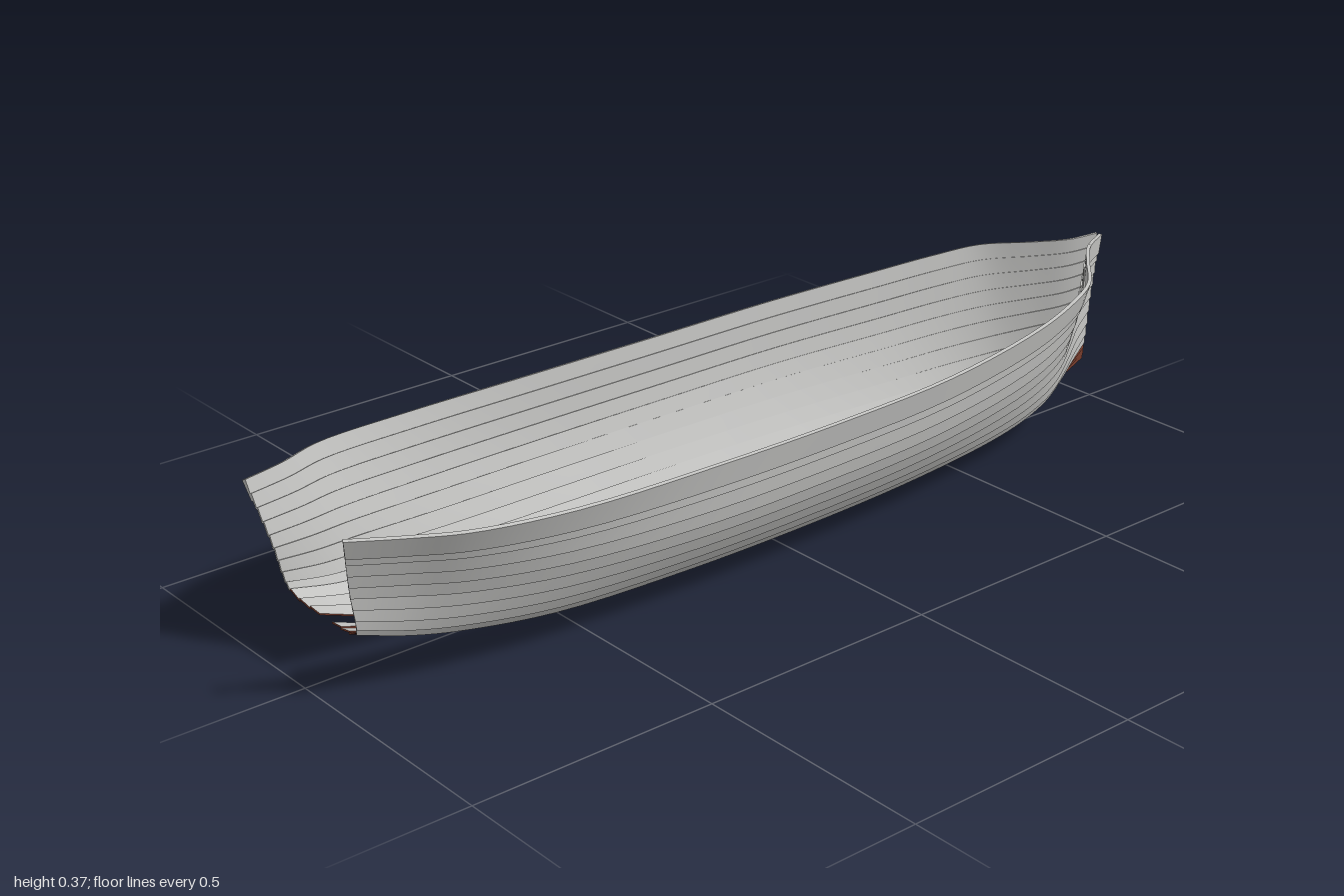
import * as THREE from 'three';
import { toCreasedNormals } from 'three/addons/utils/BufferGeometryUtils.js';

// Lengthwise stations, stern (-1) to bow (+1)
const stations = [-1, -.9, -.8, -.6, -.3, 0, .3, .57, .7, .8, .88, .94, 1];

// Guide lines from the keel edge up to the sheer: heights and half breadths at each station
const lines = [
  { rake: 0, // keel edge
    y: [.12, .085, .06, .03, .01, .003, .004, .013, .023, .038, .058, .075, .1],
    z: [.02, .022, .024, .026, .028, .028, .022, .012, .008, .005, .004, .003, .003] },
  { rake: .05, // bottom
    y: [.122, .094, .07, .042, .022, .017, .018, .025, .036, .052, .073, .092, .118],
    z: [.065, .072, .08, .092, .1, .1, .09, .072, .055, .038, .022, .012, .004] },
  { rake: .12, // edge of the painted bottom
    y: [.136, .108, .09, .066, .055, .053, .053, .058, .066, .078, .097, .114, .137],
    z: [.11, .125, .14, .156, .163, .163, .15, .125, .105, .08, .05, .025, .005] },
  { rake: .5, // topside
    y: [.23, .215, .202, .185, .175, .174, .178, .188, .2, .213, .228, .24, .255],
    z: [.128, .158, .19, .225, .246, .246, .234, .195, .163, .122, .068, .028, .006] },
  { rake: 1, // sheer
    y: [.345, .335, .33, .32, .315, .314, .319, .332, .344, .356, .364, .371, .378],
    z: [.16, .2, .243, .272, .28, .28, .27, .232, .2, .16, .085, .032, .009] },
].map(({ rake, y, z }) => new THREE.CatmullRomCurve3(stations.map((t, i) =>
  new THREE.Vector3(t * THREE.MathUtils.lerp(t < 0 ? .95 : .967, 1, rake), y[i], z[i]))));

// Hull surface: u runs stern to bow, v runs keel to sheer
function hull(u, v) {
  return new THREE.CatmullRomCurve3(lines.map(l => l.getPoint(u))).getPoint(v);
}

function hullNormal(u, v) {
  const e = .002, c = x => Math.min(1, Math.max(0, x));
  const du = hull(c(u + e), v).sub(hull(c(u - e), v));
  const dv = hull(u, c(v + e)).sub(hull(u, c(v - e)));
  return du.cross(dv).normalize();
}

// One plank: a four-cornered section [v, depth] swept along the hull.
// Group 0 is the outside and edges, group 1 the inner face.
function plankGeometry(corners, side) {
  const N = 56, pos = [], outer = [], inner = [];
  for (let i = 0; i <= N; i++) {
    for (const [v, depth] of corners) {
      const p = hull(i / N, v).addScaledVector(hullNormal(i / N, v), -depth);
      pos.push(p.x, p.y, side * Math.max(p.z, .0015));
    }
  }
  const tri = (list, a, b, c) => side > 0 ? list.push(a, b, c) : list.push(a, c, b);
  for (let i = 0; i < N; i++) {
    for (let k = 0; k < 4; k++) {
      const a = i * 4 + k, b = i * 4 + (k + 1) % 4, list = k === 2 ? inner : outer;
      tri(list, a, a + 4, b + 4);
      tri(list, a, b + 4, b);
    }
  }
  const e = N * 4;
  tri(outer, 0, 1, 2); tri(outer, 0, 2, 3);
  tri(outer, e, e + 2, e + 1); tri(outer, e, e + 3, e + 2);
  const geo = new THREE.BufferGeometry();
  geo.setAttribute('position', new THREE.Float32BufferAttribute(pos, 3));
  geo.setIndex([...outer, ...inner]);
  geo.addGroup(0, outer.length, 0);
  geo.addGroup(outer.length, inner.length, 1);
  return toCreasedNormals(geo, .6);
}

export function createModel() {
  const grey = new THREE.MeshStandardMaterial({ color: 0xc2c2c0, side: THREE.DoubleSide });
  grey.name = 'hullGrey';
  const red = new THREE.MeshStandardMaterial({ color: 0x783d2d, side: THREE.DoubleSide });
  red.name = 'bottomRed';

  const model = new THREE.Group();
  model.name = 'boatHull';
  const T = .003;

  for (const side of [1, -1]) {
    const half = new THREE.Group();
    half.name = side > 0 ? 'leftHullSide' : 'rightHullSide';
    const add = (name, corners, material) => {
      const mesh = new THREE.Mesh(plankGeometry(corners, side), [material, grey]);
      mesh.name = name;
      half.add(mesh);
    };

    // Overlapping planks: each lower edge laps over the plank below
    const planks = (name, count, v0, v1, material) => {
      const w = (v1 - v0) / count;
      for (let i = 0; i < count; i++) {
        const a = v0 + i * w, b = a + w, low = Math.max(0, a - .006);
        add(name + (i + 1), [[low, T * .5], [b, T * 1.5], [b, T * 2.5], [low, T * 1.5]], material);
      }
    };
    planks('bottomPlank', 3, 0, .5, red);
    planks('sidePlank', 9, .5, 1, grey);

    // Thicker strake along the sheer
    add('sheerStrake', [[.915, 0], [1, 0], [1, T * 1.6], [.915, T * 1.6]], grey);
    model.add(half);
  }
  return model;
}
